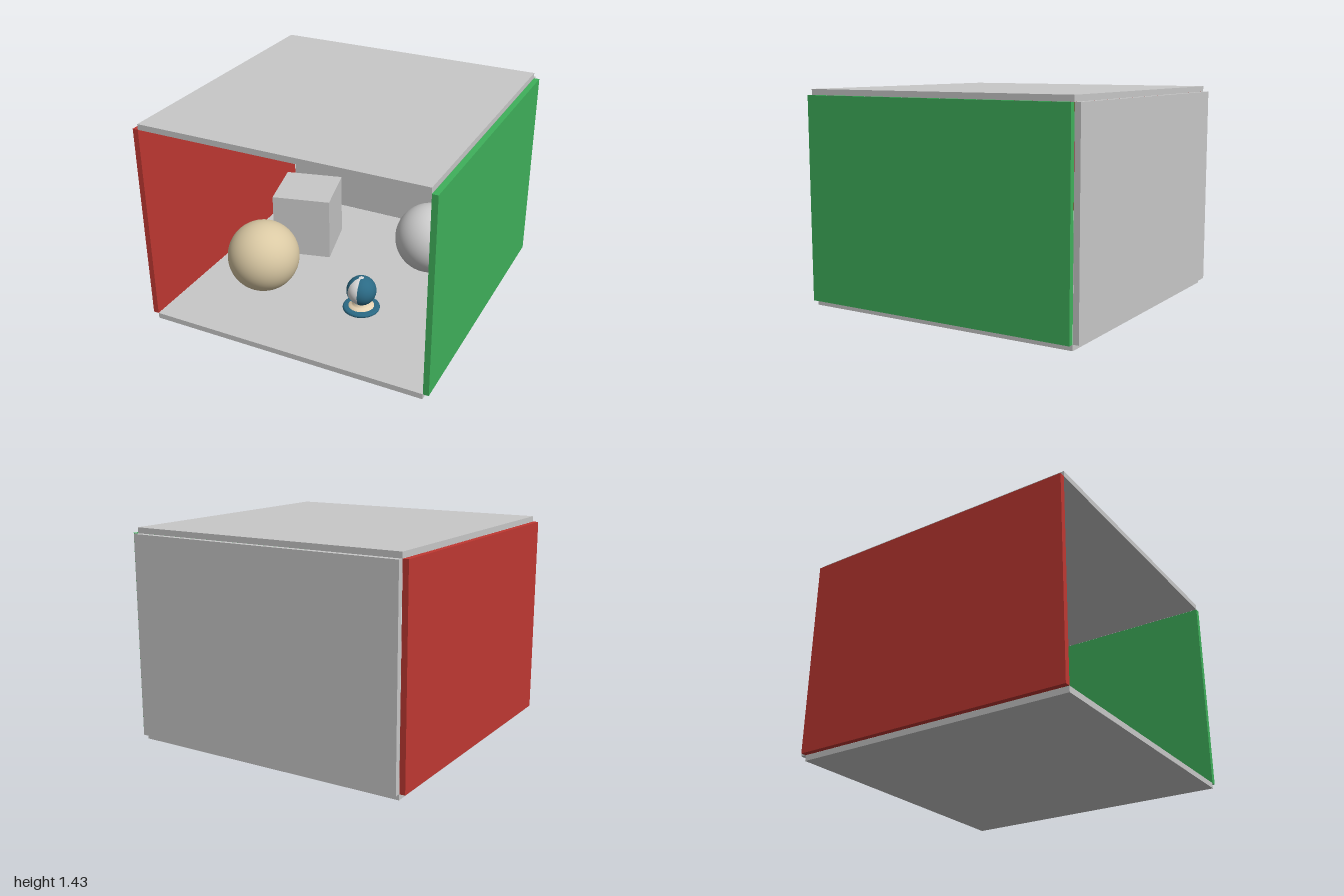
import * as THREE from 'three';

const mat = (name, color) => Object.assign(new THREE.MeshStandardMaterial({ color }), { name });

export function createModel() {
  const model = new THREE.Group();
  model.name = 'roomWithSpheres';

  const grey = mat('wall grey', 0xc8c8c8);
  const red = mat('red', 0xbf3832);
  const green = mat('green', 0x3fb05b);
  const tan = mat('tan', 0xdac9a4);
  const silver = mat('silver', 0xcecece);
  const blue = mat('deep blue', 0x2b6a85);
  const white = mat('white', 0xdddddd);
  const cream = mat('cream', 0xe6d3b3);

  const add = (name, geometry, material, x, y, z, parent = model) => {
    const mesh = new THREE.Mesh(geometry, material);
    mesh.name = name;
    mesh.position.set(x, y, z);
    parent.add(mesh);
    return mesh;
  };

  // Room: separate slabs that meet along their edges, open at the front
  const T = 0.038, W = 1.92, H = 1.35, Z = 0.02;
  const slab = new THREE.BoxGeometry(W, T, W);
  const sideWall = new THREE.BoxGeometry(T, H, W);
  const midY = T + H / 2;
  add('floor', slab, grey, 0, T / 2, Z);
  add('ceiling', slab, grey, 0, T * 1.5 + H, Z);
  add('backWall', new THREE.BoxGeometry(W, H, T), grey, 0, midY, -0.96);
  add('rightWall', sideWall, red, -0.98, midY, Z);
  add('leftWall', sideWall, green, 0.98, midY, Z);

  // Large objects on the floor
  const ball = new THREE.SphereGeometry(0.249, 64, 40);
  add('tanSphere', ball, tan, -0.485, 0.289, 0.372);
  add('silverSphere', ball, silver, 0.477, 0.307, -0.33);
  const block = add('block', new THREE.BoxGeometry(0.423, 0.46, 0.423), grey, -0.504, T + 0.23, -0.318);
  block.rotation.y = 0.245;

  // Small ball on a stand: a shell with a cut-out segment around a pale core
  const stand = new THREE.Group();
  stand.name = 'sampleBall';
  stand.position.set(0.246, T, 0.328);
  model.add(stand);

  const deg = Math.PI / 180;
  add('shell', new THREE.SphereGeometry(0.102, 48, 32, 97.5 * deg, 311.5 * deg, 0.17, Math.PI - 0.17),
    blue, 0, 0.145, 0, stand).material.side = THREE.DoubleSide;
  add('core', new THREE.SphereGeometry(0.098, 48, 32), white, 0, 0.145, 0, stand);

  const lathe = (points) => new THREE.LatheGeometry(points.map(([r, y]) => new THREE.Vector2(r, y)), 48);
  add('base', lathe([[0, 0], [0.118, 0], [0.125, 0.006], [0.127, 0.014], [0.124, 0.022], [0.116, 0.027], [0.08, 0.027], [0, 0.027]]),
    blue, 0, 0, 0, stand);
  add('neck', lathe([[0.088, 0.027], [0.08, 0.035], [0.068, 0.04], [0.06, 0.047], [0.056, 0.062]]),
    cream, 0, 0, 0, stand).material.side = THREE.DoubleSide;

  return model;
}
